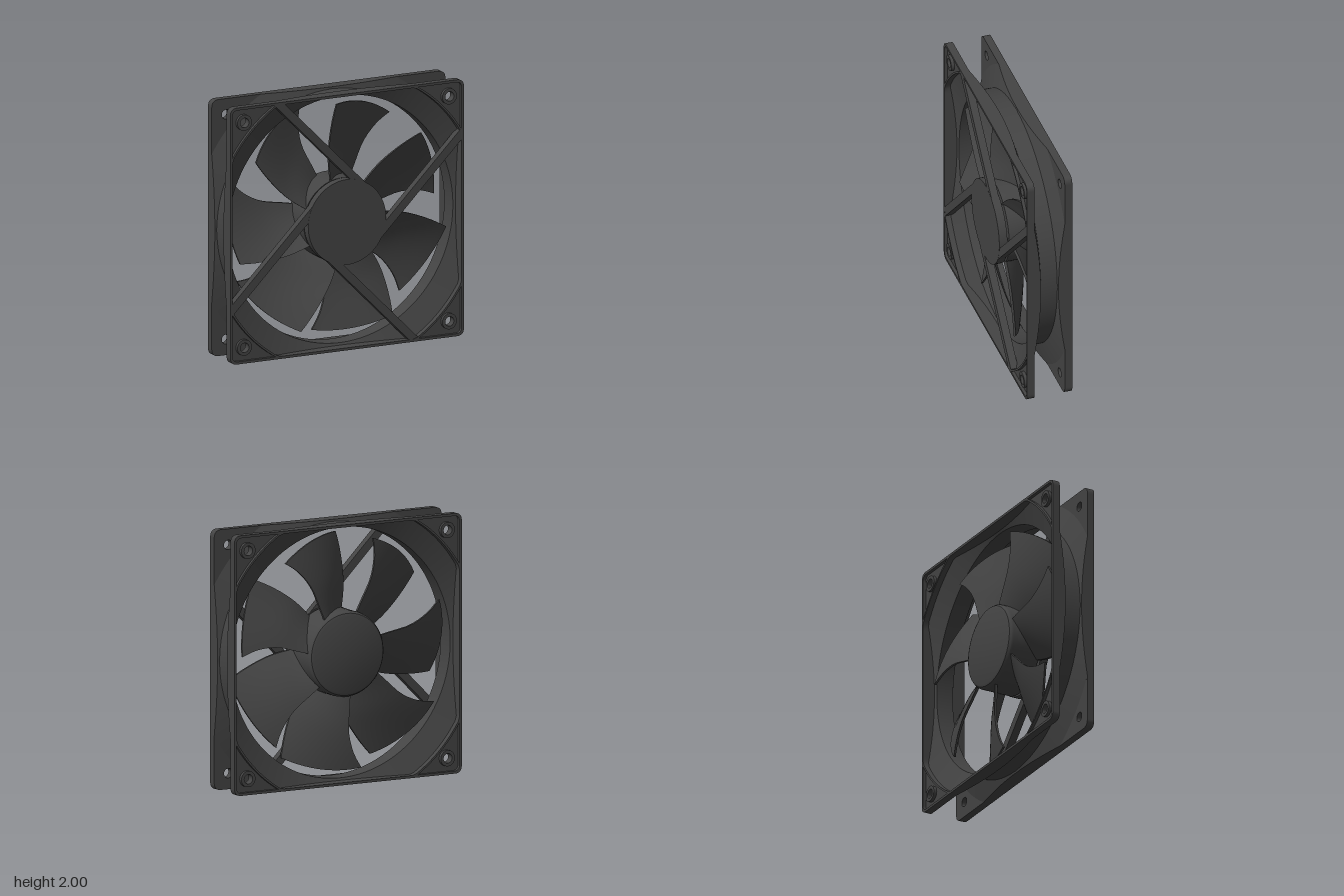
import * as THREE from 'three';
import { toCreasedNormals } from 'three/addons/utils/BufferGeometryUtils.js';

const material = new THREE.MeshStandardMaterial({ color: 0x444444 });

function addMesh(parent, name, geometry) {
  const mesh = new THREE.Mesh(geometry, material);
  mesh.name = name;
  parent.add(mesh);
  return mesh;
}

// Skin a list of closed rings, each a list of [x, y, z]
function loft(rings, crease = 0.5) {
  const n = rings[0].length;
  const index = [];
  for (let i = 0; i < rings.length - 1; i++) {
    for (let j = 0; j < n; j++) {
      const a = i * n + j, b = i * n + (j + 1) % n;
      index.push(a, b, b + n, a, b + n, a + n);
    }
  }
  const g = new THREE.BufferGeometry();
  g.setAttribute('position', new THREE.Float32BufferAttribute(rings.flat(2), 3));
  g.setIndex(index);
  return toCreasedNormals(g, crease);
}

function slab(shape, z0, z1) {
  const g = new THREE.ExtrudeGeometry(shape, { depth: z1 - z0, bevelEnabled: false, curveSegments: 24 });
  return g.translate(0, 0, z0);
}

function circle(x, y, r) {
  return new THREE.Path().absarc(x, y, r, 0, Math.PI * 2);
}

// Round duct whose flared ends are cut off by the square outline
function ductGeometry() {
  const tube = 0.07, front = 0.18, steps = 192;
  const rings = [];
  for (let i = 0; i <= steps; i++) {
    const t = (i / steps) * Math.PI * 2;
    const c = Math.cos(t), s = Math.sin(t);
    const square = 1 / Math.max(Math.abs(c), Math.abs(s));
    const ri = Math.min(1.14, 0.98 * square);
    const ro = Math.min(1.155, square);
    const zi = 0.075 + 0.06 * (ri - 0.963) / (1.14 - 0.963);
    const zo = 0.065 + 0.055 * (ro - 0.985) / (1.155 - 0.985);
    const half = [[0.963, tube], [ri, zi], [ri, front], [ro, front], [ro, zo], [0.985, zo < tube ? zo : tube - 0.005]];
    const loop = [...half, ...half.map(([r, z]) => [r, -z]).reverse()];
    rings.push(loop.map(([r, z]) => [r * c, r * s, z]));
  }
  return loft(rings);
}

// One mounting corner: recessed plate, raised rim and screw boss
function makeCorner() {
  const corner = new THREE.Group();
  corner.name = 'mountingCorner';
  const R = 1.15, a = Math.acos(1 / R), e = R * Math.sin(a), h = 0.877;

  const plate = new THREE.Shape();
  plate.moveTo(1, e).lineTo(1, 0.94).quadraticCurveTo(1, 1, 0.94, 1).lineTo(e, 1);
  plate.absarc(0, 0, R, Math.PI / 2 - a, a, true);
  plate.holes.push(circle(h, h, 0.037));
  addMesh(corner, 'cornerPlate', slab(plate, 0.12, 0.155));

  const rim = new THREE.Shape();
  rim.moveTo(1, e).lineTo(1, 0.94).quadraticCurveTo(1, 1, 0.94, 1).lineTo(e, 1);
  rim.lineTo(e, 0.98).lineTo(0.935, 0.98).quadraticCurveTo(0.98, 0.98, 0.98, 0.935).lineTo(0.98, e);
  addMesh(corner, 'cornerRim', slab(rim, 0.12, 0.18));

  const boss = new THREE.Shape().absarc(h, h, 0.062, 0, Math.PI * 2);
  boss.holes.push(circle(h, h, 0.037));
  addMesh(corner, 'screwBoss', slab(boss, 0.15, 0.18));
  return corner;
}

// Cambered, twisted blade; u runs from the rear edge (0) to the front edge (1)
function bladeGeometry() {
  const rearEdge = new THREE.SplineCurve([[0.3, 55], [0.36, 57.5], [0.57, 61], [0.75, 59], [0.9, 54.8]].map(p => new THREE.Vector2(...p)));
  const frontEdge = new THREE.SplineCurve([[0.3, 109], [0.36, 107], [0.5, 103.5], [0.68, 98.5], [0.905, 92.9]].map(p => new THREE.Vector2(...p)));
  const rows = 14, cols = 14, rings = [];
  const section = (k, thickness) => {
    const p = rearEdge.getPoint(k), q = frontEdge.getPoint(k);
    const point = (u, side) => {
      const r = p.x + (q.x - p.x) * u;
      const t = THREE.MathUtils.degToRad(p.y + (q.y - p.y) * u);
      const z = -0.13 + 0.01 * k + (0.23 - 0.02 * k) * (0.55 * u + 0.45 * u * u);
      return [r * Math.cos(t), r * Math.sin(t), z + side * thickness / 2];
    };
    const ring = [];
    for (let j = cols; j >= 0; j--) ring.push(point(j / cols, 1));
    for (let j = 0; j <= cols; j++) ring.push(point(j / cols, -1));
    return ring;
  };
  for (let i = 0; i <= rows; i++) rings.push(section(i / rows, 0.024 - 0.008 * i / rows));
  rings.push(section(1, 0)); // closes the tip
  return loft(rings);
}

// Solid of revolution about the z axis, profile as [radius, z]
function turned(profile) {
  const g = new THREE.LatheGeometry(profile.map(p => new THREE.Vector2(...p)), 64);
  return toCreasedNormals(g.rotateX(Math.PI / 2), 0.5);
}

export function createModel() {
  const model = new THREE.Group();
  model.name = 'axialFan';
  const fan = new THREE.Group();
  fan.name = 'fan';
  fan.position.y = 1;
  model.add(fan);

  // Frame
  const frame = new THREE.Group();
  frame.name = 'frame';
  fan.add(frame);
  addMesh(frame, 'duct', ductGeometry());
  for (const turn of [0, Math.PI]) {
    const flange = new THREE.Group();
    flange.name = turn ? 'rearFlange' : 'frontFlange';
    flange.rotation.y = turn;
    frame.add(flange);
    for (let i = 0; i < 4; i++) {
      const corner = makeCorner();
      corner.rotation.z = i * Math.PI / 2;
      flange.add(corner);
    }
  }

  // Motor mount with four tangential struts
  addMesh(fan, 'motorPlate', turned([[0, 0.115], [0.333, 0.115], [0.333, 0.18], [0, 0.18]]));
  const strut = new THREE.Shape([[0.18, 0.18], [0.225, 0.225], [-0.535, 0.985], [-0.625, 0.985]].map(p => new THREE.Vector2(...p)));
  const strutGeometry = slab(strut, 0.12, 0.179);
  for (let i = 0; i < 4; i++) addMesh(fan, 'strut', strutGeometry).rotation.z = i * Math.PI / 2;

  // Rotor
  const rotor = new THREE.Group();
  rotor.name = 'rotor';
  fan.add(rotor);
  addMesh(rotor, 'hub', turned([[0, -0.175], [0.295, -0.175], [0.315, -0.168], [0.328, -0.15], [0.33, -0.135], [0.33, 0.1], [0, 0.1]]));
  addMesh(rotor, 'shaft', turned([[0, 0.09], [0.12, 0.09], [0.12, 0.125], [0, 0.125]]));
  const blade = bladeGeometry();
  for (let i = 0; i < 7; i++) addMesh(rotor, 'blade', blade).rotation.z = i * Math.PI * 2 / 7;

  return model;
}
